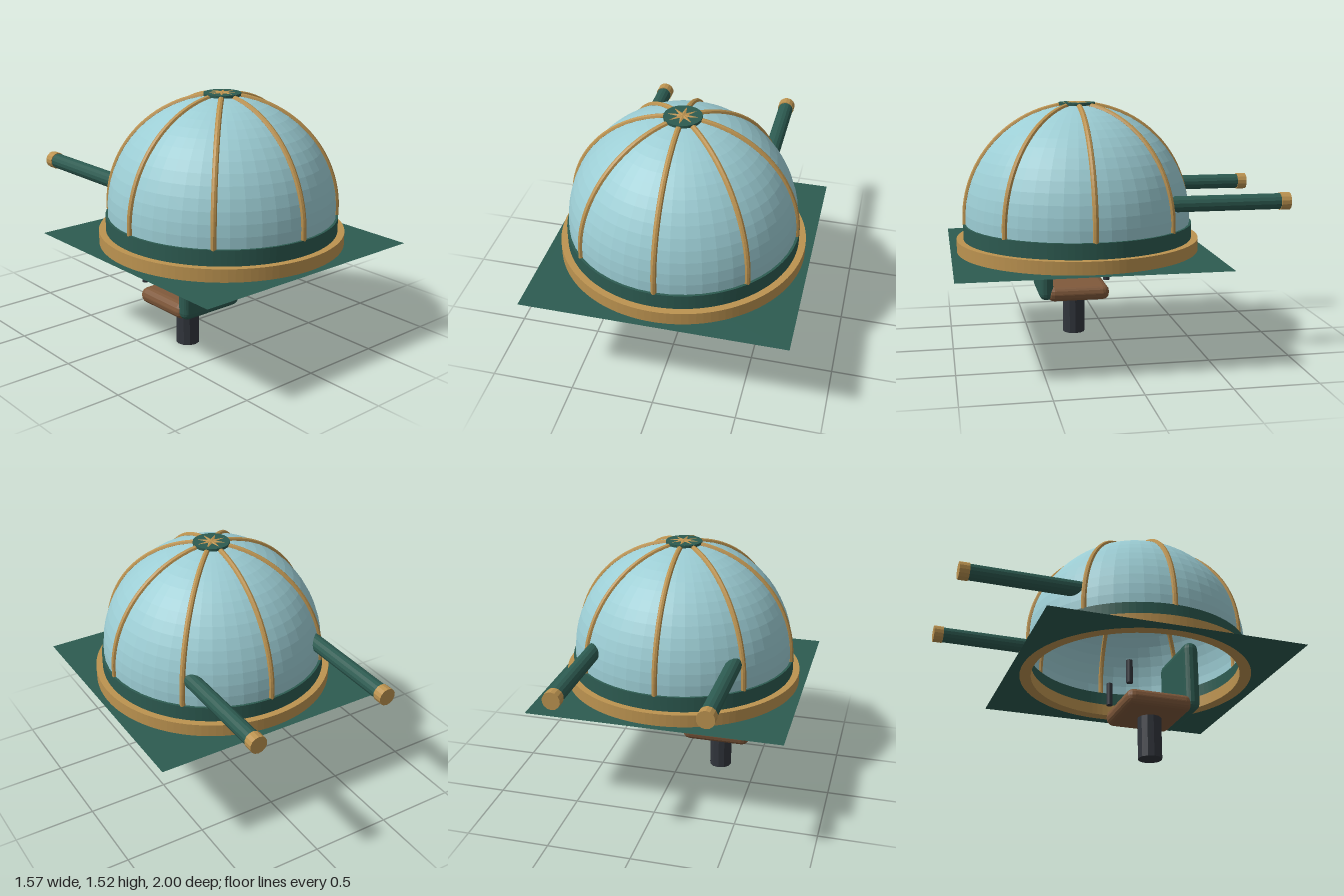
import * as THREE from 'three';
import { RoundedBoxGeometry } from 'three/addons/geometries/RoundedBoxGeometry.js';

const CZ = 0.215;      // dome axis
const DOME_Y = 0.815;  // sphere centre height
const DOME_R = 0.69;
const SEAT_X = -0.26;

export function createModel() {
  const group = new THREE.Group();
  const mat = (name, color) => {
    const m = new THREE.MeshStandardMaterial({ color, flatShading: true });
    m.name = name;
    return m;
  };
  const green = mat('darkGreen', 0x2d5b51);
  const brass = mat('brass', 0xbc9350);
  const glass = mat('paleBlueGlass', 0x9ccdd4);
  const leather = mat('brownLeather', 0x80593b);
  const iron = mat('darkIron', 0x31353c);
  glass.side = THREE.DoubleSide;
  const greenSheet = green;
  greenSheet.side = THREE.DoubleSide;

  const add = (name, geometry, material, x = 0, y = 0, z = 0) => {
    const mesh = new THREE.Mesh(geometry, material);
    mesh.name = name;
    mesh.position.set(x, y, z);
    group.add(mesh);
    return mesh;
  };
  const circle = (r) => new THREE.Path().absarc(0, 0, r, 0, Math.PI * 2, true);

  // Flat annulus standing on height y
  const ring = (name, outer, inner, y, height, material) => {
    const shape = new THREE.Shape().absarc(0, 0, outer, 0, Math.PI * 2, false);
    shape.holes.push(circle(inner));
    const geo = new THREE.ExtrudeGeometry(shape, { depth: height, bevelEnabled: false, curveSegments: 56 });
    add(name, geo.rotateX(-Math.PI / 2), material, 0, y, CZ);
  };
  ring('mountingRing', 0.745, 0.65, 0.615, 0.077, brass);
  ring('domeCollar', 0.703, 0.67, 0.692, 0.093, green);

  // Square deck sheet with a round opening
  const h = 0.783;
  const deck = new THREE.Shape([
    new THREE.Vector2(-h, -h), new THREE.Vector2(h, -h),
    new THREE.Vector2(h, h), new THREE.Vector2(-h, h),
  ]);
  deck.holes.push(circle(0.72));
  add('deckSheet', new THREE.ShapeGeometry(deck, 56).rotateX(-Math.PI / 2), greenSheet, 0, 0.612, CZ);

  // Glass dome, reaching a little below the equator
  const low = Math.PI / 2 + 0.05;
  add('glassDome', new THREE.SphereGeometry(DOME_R, 48, 16, 0, Math.PI * 2, 0, low), glass, 0, DOME_Y, CZ);

  // Eight ribs from the collar up to the crown
  const arc = [];
  for (let i = 0; i <= 12; i++) {
    const t = (i / 12) * low;
    arc.push(new THREE.Vector3(Math.sin(t) * DOME_R, Math.cos(t) * DOME_R, 0));
  }
  const ribGeo = new THREE.TubeGeometry(new THREE.CatmullRomCurve3(arc), 28, 0.017, 8);
  for (let i = 0; i < 8; i++) {
    add('domeRib', ribGeo, brass, 0, DOME_Y, CZ).rotation.y = (i * Math.PI) / 4;
  }
  add('crownDisc', new THREE.CylinderGeometry(0.112, 0.112, 0.016, 24), green, 0, 1.508, CZ);

  // Twin barrels pointing backwards
  const rod = (r, length, sides) => new THREE.CylinderGeometry(r, r, length, sides).rotateX(Math.PI / 2);
  for (const x of [-0.428, 0.428]) {
    add('barrel', rod(0.048, 0.68, 14), green, x, 0.942, -0.61);
    add('muzzle', rod(0.053, 0.06, 14), brass, x, 0.942, -0.97);
  }

  // Gunner seat on its pedestal
  add('seatPedestal', new THREE.CylinderGeometry(0.071, 0.071, 0.25, 12), iron, SEAT_X, 0.125, 0.205);
  add('seatCushion', new RoundedBoxGeometry(0.43, 0.097, 0.4, 2, 0.045), leather, SEAT_X, 0.298, 0.2);
  add('seatBack', new RoundedBoxGeometry(0.43, 0.43, 0.09, 2, 0.044), green, SEAT_X, 0.475, 0.405);
  for (const side of [-1, 1]) {
    add('handGrip', new THREE.CylinderGeometry(0.02, 0.02, 0.14, 10), iron, SEAT_X + side * 0.18, 0.45, 0.02);
  }
  return group;
}
